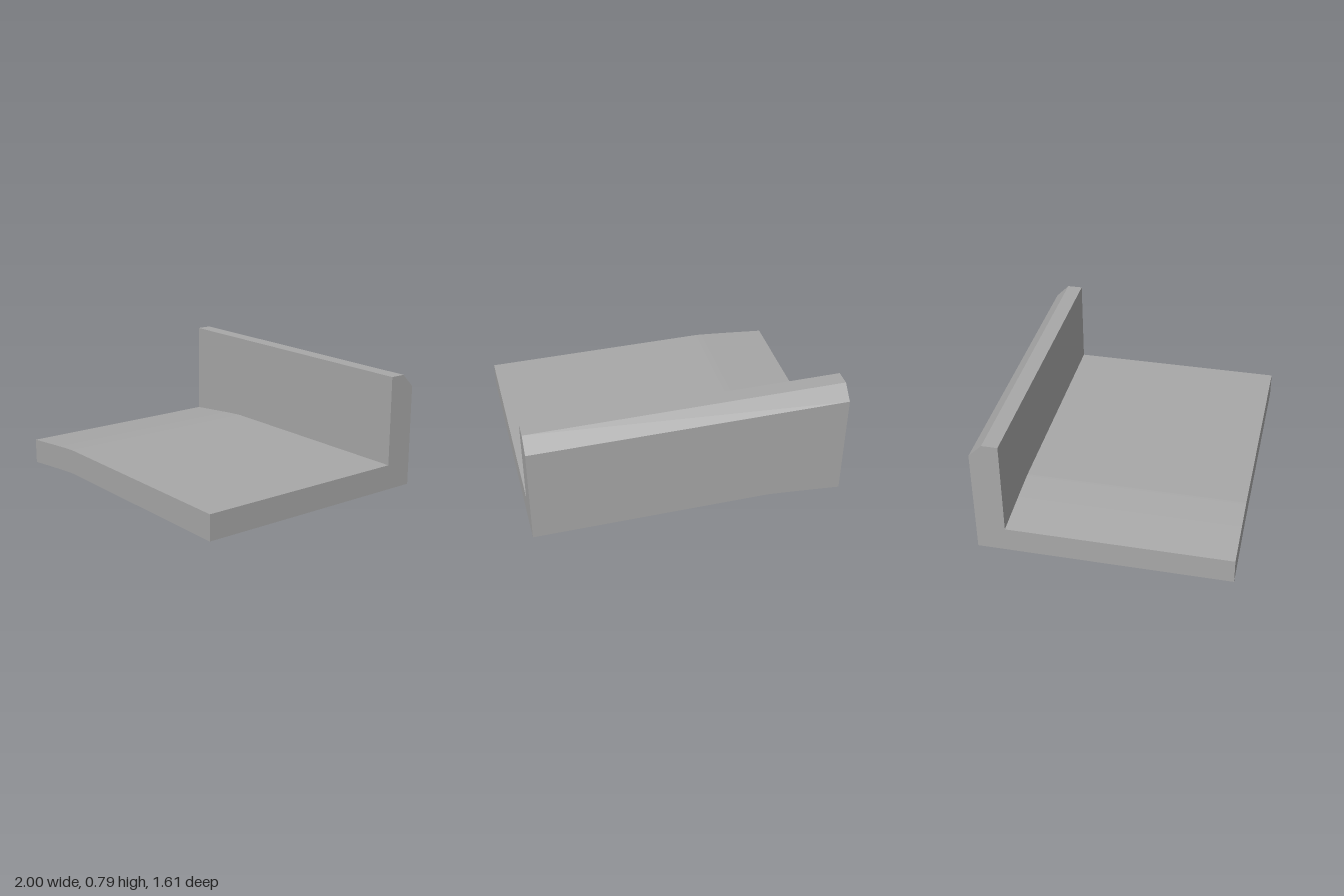
import * as THREE from 'three';

const FLOOR_TOP = 0.21, FLOOR_BOTTOM = 0.047, THICK = 0.163;
const WALL_TOP = 0.785, CHAMFER_LOW = 0.7;
const Z_FRONT = 0.805, Z_BACK = -0.805, Z_WALL = -0.62, Z_SLOT = -0.66, Z_CHAMFER = -0.72;

// Gently drooping edge on the right side, walked from the flat part outwards
function droop(offset) {
  return new THREE.QuadraticBezierCurve(
    new THREE.Vector2(-0.5, FLOOR_BOTTOM + offset),
    new THREE.Vector2(-0.57, FLOOR_BOTTOM - 0.003 + offset),
    new THREE.Vector2(-1, offset)
  ).getPoints(10);
}

// Outline with the drooping underside and a given top edge
function outline(topPoints) {
  return new THREE.Shape([...droop(0), ...topPoints, new THREE.Vector2(1, FLOOR_BOTTOM)]);
}

function slab(shape, zBack, zFront) {
  const geo = new THREE.ExtrudeGeometry(shape, { depth: zFront - zBack, bevelEnabled: false });
  return geo.translate(0, 0, zBack);
}

export function createModel() {
  const group = new THREE.Group();
  const grey = new THREE.MeshStandardMaterial({ name: 'grey', color: 0xa8a8a8 });
  const add = (name, geo) => {
    const mesh = new THREE.Mesh(geo, grey);
    mesh.name = name;
    group.add(mesh);
  };

  // Floor plate
  const floorTop = [...droop(THICK).reverse(), new THREE.Vector2(1, FLOOR_TOP)];
  add('floorPlate', slab(outline(floorTop), Z_WALL, Z_FRONT));

  // Front layer of the wall, pierced by the slot
  const wallTop = [new THREE.Vector2(-1, WALL_TOP), new THREE.Vector2(1, WALL_TOP)];
  const face = outline(wallTop);
  face.holes.push(new THREE.Path([
    new THREE.Vector2(-0.45, 0.243), new THREE.Vector2(-0.45, 0.405),
    new THREE.Vector2(0.45, 0.405), new THREE.Vector2(0.45, 0.243)
  ]));
  add('slottedWallFace', slab(face, Z_SLOT, Z_WALL));

  // Solid core of the wall, closing the slot
  add('wallCore', slab(outline(wallTop), Z_CHAMFER, Z_SLOT));

  // Rear layer, its top back edge lowered into a chamfer
  const rear = slab(outline(wallTop), Z_BACK, Z_CHAMFER);
  const pos = rear.attributes.position;
  for (let i = 0; i < pos.count; i++) {
    if (pos.getZ(i) < Z_BACK + 0.01 && pos.getY(i) > WALL_TOP - 0.01) pos.setY(i, CHAMFER_LOW);
  }
  rear.computeVertexNormals();
  add('chamferedWallBack', rear);

  return group;
}
